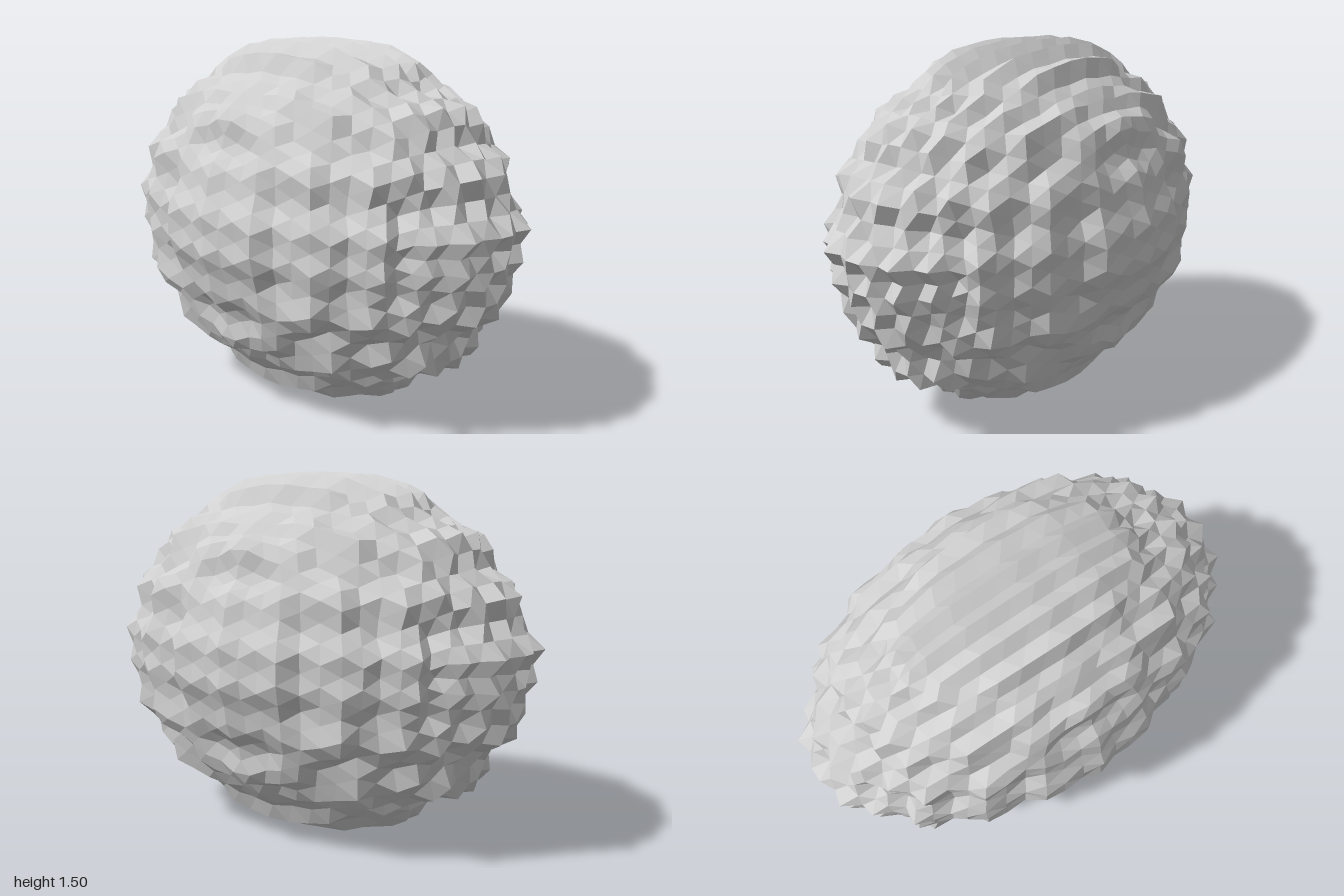
import * as THREE from 'three';

// Ellipsoid that the bumps ride on
const RADII = new THREE.Vector3(0.937, 0.742, 0.598);
const CENTRE_Y = 0.755;

// Relative radius of the bumpy surface in a given unit direction
function bumpyRadius({ x, y, z }) {
  const ridgesAcross = -0.027 * Math.cos(35 * z);
  const ledges = 0.022 * Math.cos(23 * Math.abs(y) - 2);
  const endLedge = 0.015 * x * x * Math.sin(18 * y);
  const waves = 0.02 * Math.cos(26 * x) * (1 - 0.8 * y * y);
  return 1 + ridgesAcross + ledges + endLedge + waves;
}

export function createModel() {
  const group = new THREE.Group();
  group.name = 'asteroid';

  const stone = new THREE.MeshStandardMaterial({ color: 0xd0d0d0 });
  stone.name = 'pale grey stone';

  // Faceted ball, pushed in and out along its radius
  const geometry = new THREE.IcosahedronGeometry(1, 11);
  const position = geometry.attributes.position;
  const v = new THREE.Vector3();
  for (let i = 0; i < position.count; i++) {
    v.fromBufferAttribute(position, i).normalize();
    v.multiplyScalar(bumpyRadius(v)).multiply(RADII);
    position.setXYZ(i, v.x, v.y + CENTRE_Y, v.z);
  }
  geometry.computeVertexNormals(); // unshared corners give flat facets

  const rock = new THREE.Mesh(geometry, stone);
  rock.name = 'rock';
  group.add(rock);
  return group;
}
